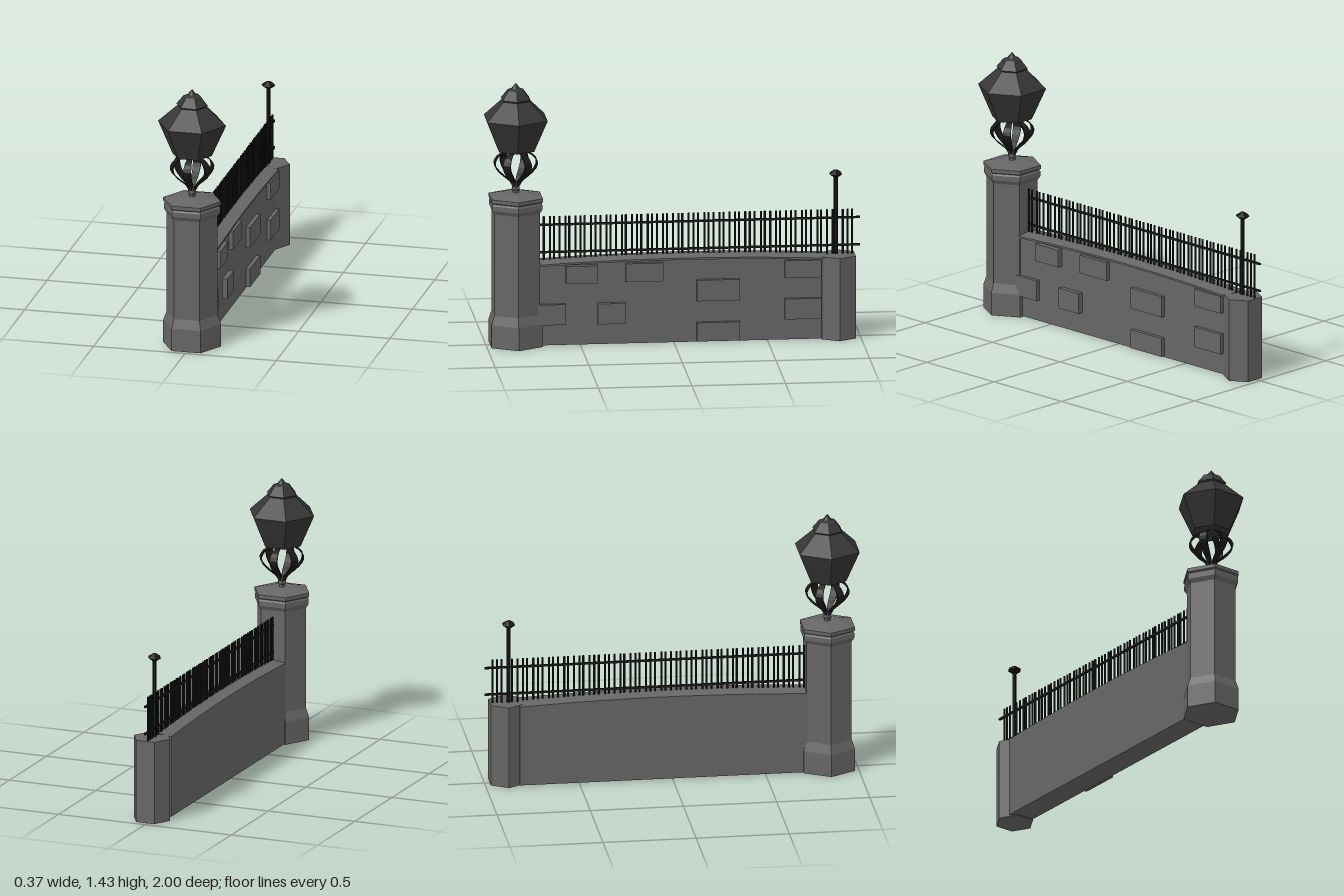
import * as THREE from 'three';

const mat = (color) => new THREE.MeshStandardMaterial({ color, flatShading: true });

export function createModel() {
  const root = new THREE.Group();
  const stone = mat(0x666666), lampMat = mat(0x363636), iron = mat(0x1a1a1a);
  const LAMP_Z = 0.84, END_Z = -0.88;

  const add = (name, geo, material, x = 0, y = 0, z = 0, parent = root) => {
    const m = new THREE.Mesh(geo, material);
    m.name = name;
    m.position.set(x, y, z);
    parent.add(m);
    return m;
  };
  // Six-sided turned solid with corners on the x axis; profile is [radius, height] from bottom to top
  const hex = (profile) =>
    new THREE.LatheGeometry(profile.map(([r, y]) => new THREE.Vector2(r, y)), 6, Math.PI / 2);
  // Moves every vertex of a geometry by a rule
  const bend = (geo, rule) => {
    const p = geo.attributes.position, v = new THREE.Vector3();
    for (let i = 0; i < p.count; i++) {
      rule(v.fromBufferAttribute(p, i));
      p.setXYZ(i, v.x, v.y, v.z);
    }
    geo.computeVertexNormals();
    return geo;
  };

  // Tall pillar with flared foot and moulded cap
  add('lampPillar', hex([[0, 0], [0.158, 0], [0.158, 0.125], [0.14, 0.175], [0.14, 0.73], [0.155, 0.752],
    [0.155, 0.778], [0.148, 0.787], [0.158, 0.793], [0.158, 0.813], [0.075, 0.831], [0, 0.833]]),
    stone, 0, 0, LAMP_Z);

  // Low pillar at the far end of the wall
  add('endPillar', hex([[0, 0], [0.105, 0], [0.105, 0.452], [0, 0.454]]), stone, 0.01, 0, END_Z);

  // Lamp: neck, curved ribs and lantern
  const lamp = new THREE.Group();
  lamp.name = 'lamp';
  lamp.position.z = LAMP_Z;
  root.add(lamp);
  add('lampNeck', hex([[0.018, 0.825], [0.018, 0.845], [0.023, 0.85], [0.022, 0.868], [0.032, 0.885], [0, 0.897]]),
    stone, 0, 0, 0, lamp);
  const ribCurve = new THREE.CatmullRomCurve3([[0.015, 0.865], [0.03, 0.895], [0.065, 0.925], [0.103, 0.965],
    [0.113, 1.0], [0.092, 1.035], [0.05, 1.058], [0.03, 1.07]].map(([r, y]) => new THREE.Vector3(0, y, r)));
  for (let i = 0; i < 6; i++) {
    const rib = bend(new THREE.BoxGeometry(1, 1, 0.008, 1, 14, 1), (v) => {
      const t = THREE.MathUtils.clamp(v.y + 0.5, 0, 1);
      const c = ribCurve.getPoint(t);
      v.set(v.x * (0.012 + 0.032 * Math.sin(Math.PI * t)), c.y, c.z + v.z);
    });
    add('lampRib', rib, iron, 0, 0, 0, lamp).rotation.y = i * Math.PI / 3;
  }
  add('lantern', hex([[0, 1.065], [0.108, 1.065], [0.186, 1.24], [0.08, 1.337], [0.086, 1.345], [0.064, 1.372],
    [0.048, 1.393], [0.024, 1.402], [0.018, 1.41], [0, 1.432]]), lampMat, 0, 0, 0, lamp);

  // Wall with a gently arched top and a ridged coping
  const Z0 = 0.73, Z1 = -0.82, len = Z0 - Z1, mid = (Z0 + Z1) / 2;
  const arch = (z) => 0.02 * (1 - (2 * z / len) ** 2);
  add('wall', bend(new THREE.BoxGeometry(0.134, 0.435, len, 1, 1, 14), (v) => {
    v.y = v.y > 0 ? 0.44 + arch(v.z) : 0.004;
  }), stone, -0.007, 0, mid);
  add('coping', bend(new THREE.BoxGeometry(0.148, 0.01, len, 2, 1, 14), (v) => {
    const ridge = Math.abs(v.x) < 0.01 ? 0.011 : 0;
    v.y = (v.y > 0 ? 0.447 + ridge : 0.437) + arch(v.z);
  }), stone, 0, 0, mid);

  // Raised stones on the left face: [z from, z to, y from, y to, outer x]
  const stones = [
    [0.58, 0.41, 0.345, 0.44, 0.092], [0.26, 0.06, 0.345, 0.445, 0.083], [-0.12, -0.35, 0.23, 0.345, 0.083],
    [-0.59, -0.785, 0.345, 0.44, 0.081], [-0.59, -0.785, 0.118, 0.23, 0.081], [0.73, 0.58, 0.118, 0.23, 0.081],
    [0.41, 0.26, 0.118, 0.23, 0.088], [-0.12, -0.35, 0.01, 0.112, 0.083],
  ];
  for (const [za, zb, ya, yb, x] of stones) {
    add('raisedStone', new THREE.BoxGeometry(x - 0.04, yb - ya, za - zb), stone,
      (x + 0.04) / 2, (ya + yb) / 2, (za + zb) / 2);
  }

  // Iron fence: two rails and a row of pickets
  const fence = new THREE.Group();
  fence.name = 'fence';
  root.add(fence);
  for (const y of [0.5, 0.65]) {
    add('fenceRail', new THREE.BoxGeometry(0.01, 0.011, 1.73), iron, 0, y, -0.135, fence);
  }
  const count = 62;
  const picket = new THREE.CylinderGeometry(0.0055, 0.0055, 0.245, 6);
  for (let i = 0; i < count; i++) {
    const z = 0.715 - (i / (count - 1)) * 1.675 + 0.004 * Math.sin(i * 2.3);
    add('fencePicket', picket, iron, 0, 0.573, z, fence);
  }

  // Post with a faceted finial on the end pillar
  add('fencePost', new THREE.CylinderGeometry(0.011, 0.011, 0.435, 8), iron, 0, 0.665, -0.87);
  add('postFinial', hex([[0, 0.868], [0.012, 0.872], [0.037, 0.89], [0.034, 0.896], [0.01, 0.912], [0, 0.914]]),
    iron, 0, 0, -0.87);

  return root;
}
